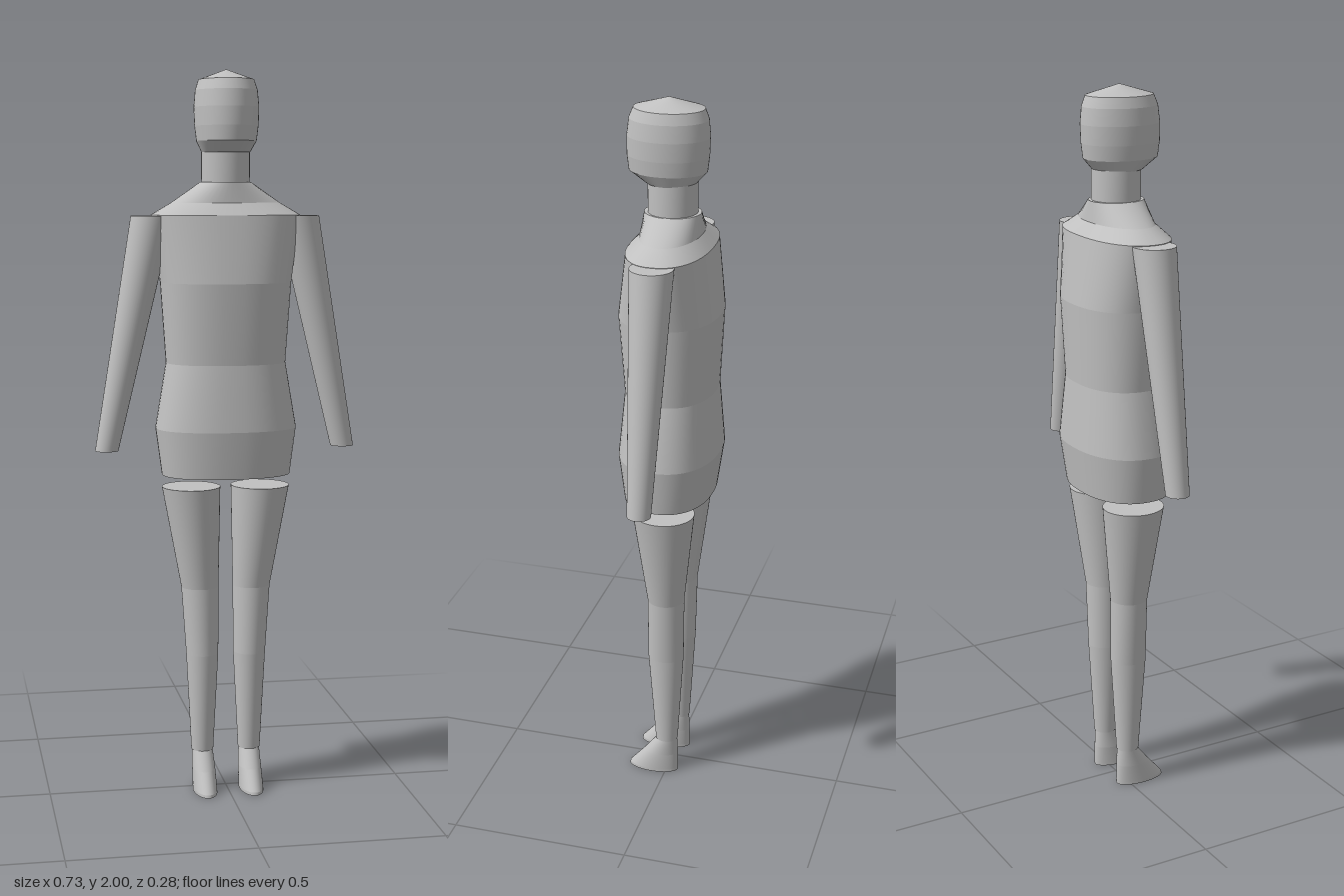
import * as THREE from 'three';
import { mergeGeometries } from 'three/addons/utils/BufferGeometryUtils.js';

const SIDES = 48;

// Point on a section [y, centreX, centreZ, halfWidth, halfDepth, exponent]
function ringPoint([y, cx, cz, rx, rz, power = 2], i) {
  const a = (i / SIDES) * Math.PI * 2;
  const round = (v) => Math.sign(v) * Math.pow(Math.abs(v), 2 / power);
  return [cx + rx * round(Math.cos(a)), y, cz + rz * round(Math.sin(a))];
}

// Geometry with its own vertices, so neighbouring bands keep a crisp edge
function makeSurface(points, index) {
  const g = new THREE.BufferGeometry();
  g.setAttribute('position', new THREE.Float32BufferAttribute(points.flat(), 3));
  g.setIndex(index);
  g.computeVertexNormals();
  return g;
}

function band(lower, upper) {
  const points = [], index = [];
  for (const s of [lower, upper]) for (let i = 0; i < SIDES; i++) points.push(ringPoint(s, i));
  for (let i = 0; i < SIDES; i++) {
    const j = (i + 1) % SIDES;
    index.push(i, i + SIDES, j, j, i + SIDES, j + SIDES);
  }
  return makeSurface(points, index);
}

function cap(section, up) {
  const points = [[section[1], section[0], section[2]]], index = [];
  for (let i = 0; i < SIDES; i++) {
    points.push(ringPoint(section, i));
    const a = i + 1, b = ((i + 1) % SIDES) + 1;
    if (up) index.push(0, b, a);
    else index.push(0, a, b);
  }
  return makeSurface(points, index);
}

// Closed loft through sections listed from bottom to top
function loft(sections) {
  const parts = [cap(sections[0], false), cap(sections[sections.length - 1], true)];
  for (let i = 0; i < sections.length - 1; i++) parts.push(band(sections[i], sections[i + 1]));
  return mergeGeometries(parts);
}

export function createModel() {
  const model = new THREE.Group();
  model.name = 'mannequin';
  const grey = new THREE.MeshStandardMaterial({ color: 0xc0c0c0 });
  grey.name = 'light grey';

  const add = (name, sections) => {
    const mesh = new THREE.Mesh(loft(sections), grey);
    mesh.name = name;
    model.add(mesh);
  };

  // Torso from hips to shoulder line
  add('torso', [
    [0.90, 0, 0.004, 0.178, 0.121, 2.3],
    [1.03, 0, 0.002, 0.195, 0.138, 2.3],
    [1.21, 0, 0, 0.165, 0.123, 2.3],
    [1.43, 0, 0.002, 0.18, 0.136, 2.3],
    [1.612, 0, 0, 0.204, 0.111, 2.3],
  ]);

  // Sloping shoulders and neck
  add('shoulders', [
    [1.612, 0, 0, 0.206, 0.111, 2.3],
    [1.645, 0, 0, 0.15, 0.081, 2.1],
    [1.70, 0, 0, 0.07, 0.076],
  ]);
  add('neck', [
    [1.69, 0, 0, 0.066, 0.066],
    [1.79, 0, 0, 0.066, 0.066],
  ]);

  // Head with a shallow conical crown
  add('head', [
    [1.78, 0, 0.004, 0.066, 0.068],
    [1.81, 0, 0.013, 0.081, 0.104],
    [1.85, 0, 0.013, 0.086, 0.109],
    [1.90, 0, 0.012, 0.088, 0.11],
    [1.945, 0, 0.011, 0.084, 0.105],
    [1.973, 0, 0.01, 0.075, 0.094],
    [2.0, 0, 0.01, 0.001, 0.001],
  ]);

  for (const [side, s] of [['left', 1], ['right', -1]]) {
    // Tapered arms, cut level at both ends
    add(side + 'Arm', [
      [0.97, s * 0.331, 0, 0.032, 0.032],
      [1.61, s * 0.202, 0, 0.058, 0.058],
    ]);

    // Leg from ankle to thigh
    add(side + 'Leg', [
      [0.11, s * 0.067, 0, 0.031, 0.032],
      [0.39, s * 0.067, 0.002, 0.045, 0.051],
      [0.58, s * 0.073, 0, 0.052, 0.052],
      [0.865, s * 0.097, 0, 0.081, 0.086],
    ]);

    // Wedge foot reaching forward
    add(side + 'Foot', [
      [0, s * 0.066, 0.04, 0.033, 0.074],
      [0.008, s * 0.066, 0.039, 0.033, 0.073],
      [0.06, s * 0.066, 0.017, 0.032, 0.05],
      [0.112, s * 0.067, -0.002, 0.029, 0.028],
    ]);
  }
  return model;
}
